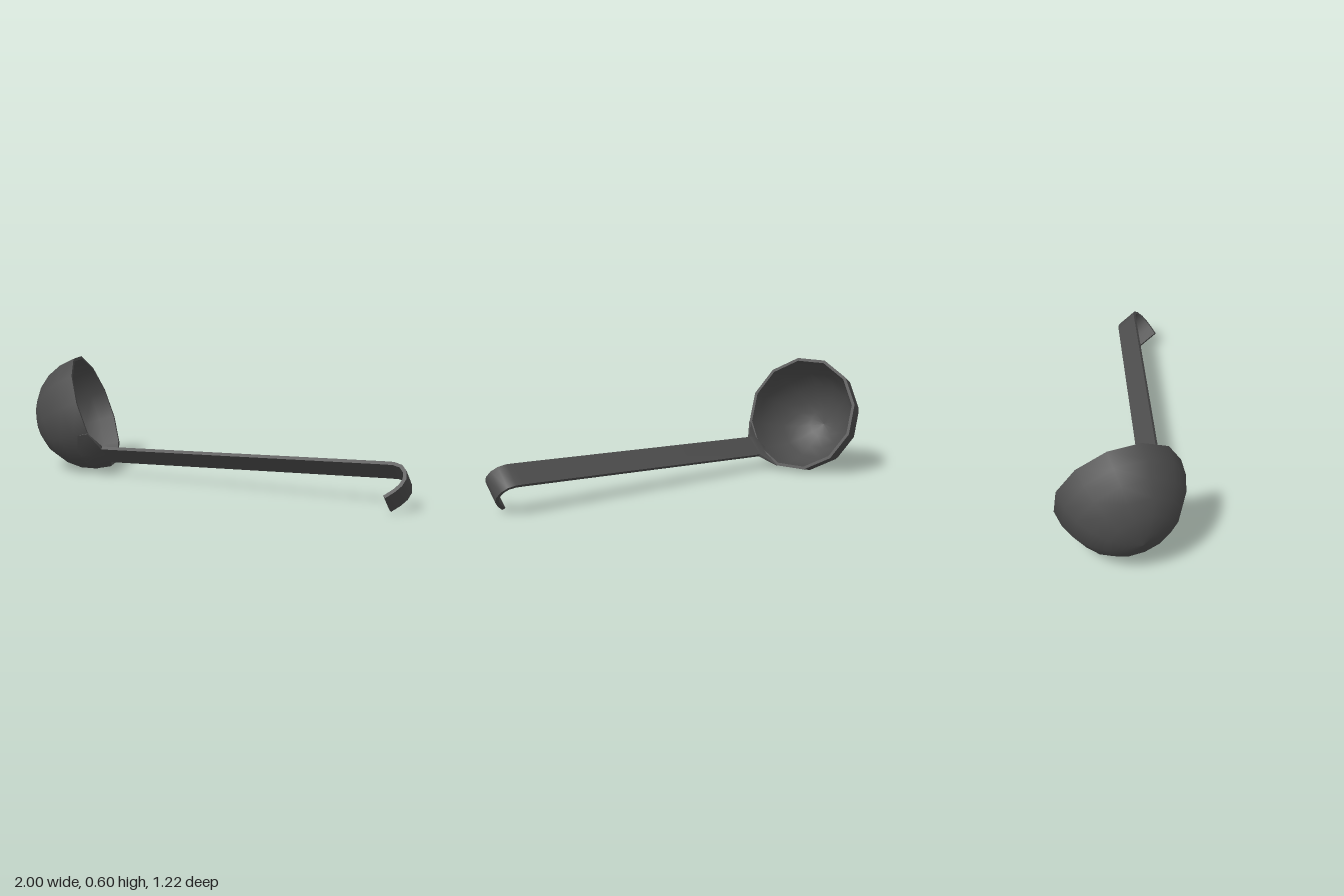
import * as THREE from 'three';
import { toCreasedNormals } from 'three/addons/utils/BufferGeometryUtils.js';

const TILT = THREE.MathUtils.degToRad(24);
const R = 0.318, WALL = 0.016, DEPTH = 0.332;
const WIDTH = 0.125, HALF_THICK = 0.009, HANDLE_Y = -0.277;

// Quarter-ellipse profile from the pole up to the rim
function bowlProfile(radius, depth, rings = 6) {
  const points = [];
  for (let i = 0; i <= rings; i++) {
    const a = (i / rings) * Math.PI / 2;
    points.push(new THREE.Vector2(radius * Math.sin(a), -depth * Math.cos(a)));
  }
  return points;
}

// Flat ribbon of constant thickness following a 2D centreline
function ribbonGeometry(path) {
  const upper = [], lower = [];
  path.forEach((p, i) => {
    const a = path[Math.max(i - 1, 0)], b = path[Math.min(i + 1, path.length - 1)];
    const t = b.clone().sub(a).normalize();
    const n = new THREE.Vector2(-t.y, t.x).multiplyScalar(HALF_THICK);
    upper.push(p.clone().add(n));
    lower.unshift(p.clone().sub(n));
  });
  const geo = new THREE.ExtrudeGeometry(new THREE.Shape([...upper, ...lower]),
    { depth: WIDTH, bevelEnabled: false });
  geo.translate(0, 0, -WIDTH / 2);
  return toCreasedNormals(geo, 0.95);
}

// Flared web between the rim and the handle, lofted across its width
function neckGeometry() {
  const end = [[0.108, -0.247], [0.114, -0.251], [0.114, -0.255], [0.06, -0.268]];
  const mid = [[0.12, -0.266], [0.165, -0.268], [0.165, -0.286], [0.03, -0.312]];
  const stations = [[-0.157, end], [-WIDTH / 2, mid], [WIDTH / 2, mid], [0.157, end]];
  const positions = [], index = [];
  stations.forEach(([z, loop]) => loop.forEach(([x, y]) => positions.push(x, y, z)));
  for (let s = 0; s < 3; s++) {
    for (let i = 0; i < 4; i++) {
      const a = s * 4 + i, b = s * 4 + (i + 1) % 4;
      index.push(a, a + 4, b, b, a + 4, b + 4);
    }
  }
  index.push(0, 1, 2, 0, 2, 3, 12, 14, 13, 12, 15, 14);
  const geo = new THREE.BufferGeometry();
  geo.setAttribute('position', new THREE.Float32BufferAttribute(positions, 3));
  geo.setIndex(index);
  return toCreasedNormals(geo, 0.6);
}

export function createModel() {
  const model = new THREE.Group();
  model.name = 'ladle';
  const darkMetal = new THREE.MeshStandardMaterial({ color: 0x4d4d4d });
  darkMetal.name = 'dark metal';

  // Ladle frame: x along the handle, z across it, origin at the rim centre
  const ladle = new THREE.Group();
  ladle.name = 'ladleBody';
  const x = new THREE.Vector3(0.945, 0.04, 0.32).normalize();
  const z = new THREE.Vector3(-0.24, 0.68, 0.68);
  z.addScaledVector(x, -z.dot(x)).normalize();
  const y = new THREE.Vector3().crossVectors(z, x);
  ladle.quaternion.setFromRotationMatrix(new THREE.Matrix4().makeBasis(x, y, z));
  ladle.position.set(-0.675, 0.318, -0.29);
  model.add(ladle);

  const add = (parent, name, geo) => {
    const mesh = new THREE.Mesh(geo, darkMetal);
    mesh.name = name;
    parent.add(mesh);
  };

  // Bowl: outer shell, inner shell and the lip joining them
  const bowl = new THREE.Group();
  bowl.name = 'bowl';
  bowl.rotation.z = TILT - Math.PI / 2;
  ladle.add(bowl);
  const outer = bowlProfile(R, DEPTH);
  const inner = bowlProfile(R - WALL, DEPTH - WALL).reverse();
  add(bowl, 'bowlOutside', new THREE.LatheGeometry(outer, 12));
  add(bowl, 'bowlInside', new THREE.LatheGeometry(inner, 12));
  add(bowl, 'bowlLip', new THREE.LatheGeometry([outer[outer.length - 1], inner[0]], 12));

  // Handle strip ending in a curled hook
  const path = [[0.13, 0], [1.7, 0], [1.745, 0.001], [1.783, 0.014], [1.806, 0.042],
    [1.812, 0.08], [1.8, 0.115], [1.775, 0.147], [1.735, 0.183]]
    .map(([px, drop]) => new THREE.Vector2(px, HANDLE_Y - drop));
  add(ladle, 'handleWithHook', ribbonGeometry(path));
  add(ladle, 'neck', neckGeometry());

  return model;
}
